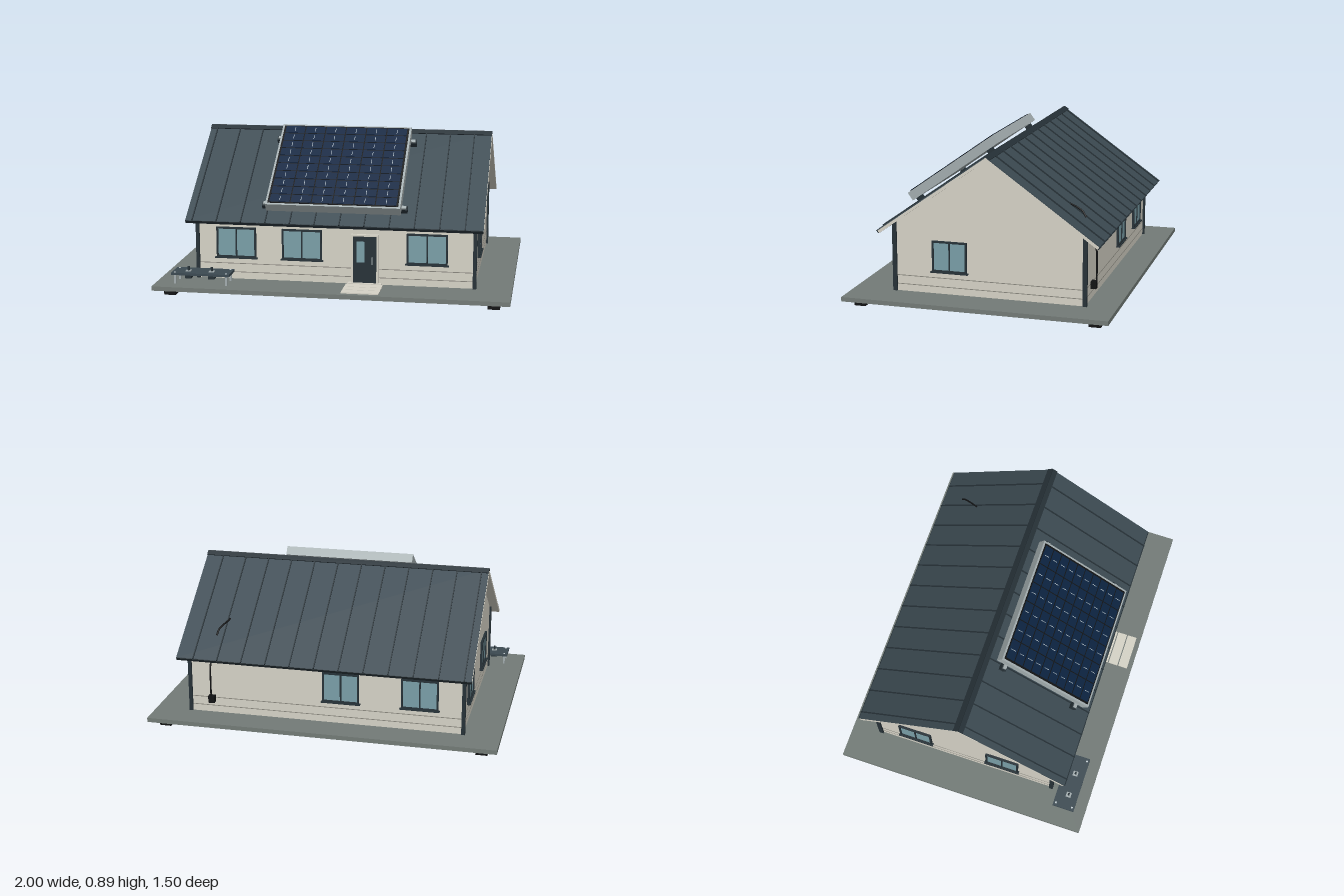
import * as THREE from 'three';

const mat = (name, color) => Object.assign(new THREE.MeshStandardMaterial({ color }), { name });
const M = {
  wall: mat('cream wall', 0xd6d3c7),
  groove: mat('cladding groove', 0x89877e),
  roof: mat('slate roof', 0x3c4a52),
  trim: mat('dark trim', 0x263137),
  glass: mat('window glass', 0x7a9fa8),
  slab: mat('grey slab', 0x737b77),
  cell: mat('solar cell blue', 0x0b2340),
  frame: mat('light metal', 0xa3adaf),
  black: mat('black rubber', 0x111213),
  silver: mat('pale busbar', 0xc6d0d4),
};

// Box given by its centre and size
function box(parent, name, material, x, y, z, w, h, d) {
  const m = new THREE.Mesh(new THREE.BoxGeometry(w, h, d), material);
  m.position.set(x, y, z);
  m.name = name;
  parent.add(m);
  return m;
}

function group(parent, name, x = 0, y = 0, z = 0, ry = 0) {
  const g = new THREE.Group();
  g.name = name;
  g.position.set(x, y, z);
  g.rotation.y = ry;
  parent.add(g);
  return g;
}

const FRONT = 0.51, BACK = -0.575, SIDE = 0.79, FLOOR = 0.06;
const RIDGE_Y = 0.86, RIDGE_Z = -0.035, PITCH = 0.617, SLOPE = 0.775;

// Two-pane window facing local +z
function addWindow(parent, x, z, ry, w) {
  const g = group(parent, 'window', x, 0.275, z, ry), h = 0.175;
  box(g, 'windowGlass', M.glass, 0, 0, 0.003, w - 0.01, h - 0.01, 0.006);
  for (const s of [-1, 1]) {
    box(g, 'windowJamb', M.trim, s * (w / 2 - 0.005), 0, 0.006, 0.01, h, 0.014);
    box(g, 'windowRail', M.trim, 0, s * (h / 2 - 0.005), 0.006, w, 0.01, 0.014);
  }
  box(g, 'windowMullion', M.trim, 0, 0, 0.005, 0.008, h, 0.012);
  box(g, 'windowSill', M.trim, 0, -h / 2 - 0.002, 0.01, w + 0.015, 0.006, 0.022);
}

function addWalls(parent) {
  // Gabled body, extruded along x
  const drop = 0.022, top = (z) => RIDGE_Y - drop - Math.abs(z - RIDGE_Z) * Math.tan(PITCH);
  const s = new THREE.Shape([
    [-FRONT, FLOOR], [-BACK, FLOOR], [-BACK, top(BACK)], [-RIDGE_Z, RIDGE_Y - drop], [-FRONT, top(FRONT)],
  ].map(([a, b]) => new THREE.Vector2(a, b)));
  const geo = new THREE.ExtrudeGeometry(s, { depth: SIDE * 2, bevelEnabled: false });
  geo.translate(0, 0, -SIDE).rotateY(Math.PI / 2);
  const body = new THREE.Mesh(geo, M.wall);
  body.name = 'walls';
  parent.add(body);

  // Cladding grooves, lower part of the walls
  const midZ = (FRONT + BACK) / 2;
  for (const y of [0.1, 0.15]) {
    box(parent, 'claddingGroove', M.groove, 0, y, midZ, SIDE * 2 + 0.003, 0.004, FRONT - BACK + 0.003);
  }
  // Corner posts
  for (const x of [-1, 1]) {
    for (const z of [FRONT, BACK]) box(parent, 'cornerPost', M.trim, x * 0.791, 0.26, z, 0.02, 0.4, 0.024);
  }
  for (const x of [-0.565, -0.185, 0.525]) addWindow(parent, x, FRONT, 0, 0.23);
  for (const x of [-0.095, -0.545]) addWindow(parent, x, BACK, Math.PI, 0.21);
  for (const z of [-0.34, 0.2]) addWindow(parent, -SIDE, z, -Math.PI / 2, 0.2);
  addWindow(parent, SIDE, 0.19, Math.PI / 2, 0.2);
}

function addDoor(parent) {
  const g = group(parent, 'door', 0.175, 0, FRONT);
  for (const s of [-1, 1]) box(g, 'doorJamb', M.wall, s * 0.072, 0.203, 0.008, 0.012, 0.286, 0.02);
  box(g, 'doorHead', M.wall, 0, 0.344, 0.008, 0.156, 0.01, 0.024);
  box(g, 'doorLeaf', M.trim, 0, 0.205, 0.005, 0.132, 0.27, 0.012);
  box(g, 'doorGlass', M.glass, -0.024, 0.248, 0.012, 0.046, 0.12, 0.004);
  box(g, 'doorHandle', M.frame, 0.042, 0.2, 0.018, 0.006, 0.04, 0.012);
  box(g, 'doorThreshold', M.wall, 0, 0.065, 0.015, 0.19, 0.01, 0.03);
  // Paving in front of the door
  for (const z of [0.06, 0.122, 0.184]) box(g, 'pavingStone', M.wall, 0, 0.063, z, 0.21, 0.007, 0.056);
}

// Roof half: local +z runs down the slope, local y is the roof normal
function addRoofHalf(parent, name, ry) {
  const turned = group(parent, name, 0, RIDGE_Y, RIDGE_Z, ry);
  const g = group(turned, name + 'Slope');
  g.rotation.x = PITCH;
  box(g, 'roofDeck', M.wall, 0, -0.014, SLOPE / 2, 1.684, 0.016, SLOPE - 0.006);
  box(g, 'roofSheet', M.roof, 0, -0.003, SLOPE / 2, 1.68, 0.006, SLOPE);
  box(g, 'eaveTrim', M.trim, 0, -0.01, SLOPE, 1.68, 0.02, 0.006);
  box(g, 'ridgeCap', M.trim, 0, 0.002, 0.016, 1.684, 0.007, 0.032);
  // Standing seams
  const flip = ry ? -1 : 1;
  for (let i = 0; i < 12; i++) {
    box(g, 'roofSeam', M.trim, flip * (-0.8 + i * 0.14), 0.003, SLOPE / 2 + 0.015, 0.006, 0.008, SLOPE - 0.03);
  }
  return g;
}

function addSolarPanel(slope) {
  const g = group(slope, 'solarPanel', 0, 0, 0.385);
  const W = 0.76, L = 0.642, top = 0.083;
  box(g, 'panelFrame', M.frame, 0, 0.0555, 0, W, 0.053, L);
  box(g, 'panelBacking', M.black, 0, top, 0, W - 0.024, 0.004, L - 0.024);
  // Cells with a dashed busbar down each column
  const cols = 6, rows = 10, cw = 0.72 / cols, cl = 0.61 / rows;
  for (let i = 0; i < cols; i++) {
    for (let j = 0; j < rows; j++) {
      const x = (i - (cols - 1) / 2) * cw, z = (j - (rows - 1) / 2) * cl;
      box(g, 'solarCell', M.cell, x, top + 0.002, z, cw - 0.006, 0.004, cl - 0.006);
      box(g, 'busbar', M.silver, x, top + 0.004, z, 0.003, 0.002, cl * 0.5);
    }
  }
  // Clamps holding the panel off the roof
  for (const x of [-0.39, 0.39]) {
    for (const z of [-0.259, 0.265]) {
      box(g, 'roofClamp', M.trim, x, 0.014, z, 0.044, 0.028, 0.032);
      box(g, 'clampPlate', M.frame, x, 0.032, z, 0.03, 0.008, 0.02);
    }
  }
}

function addBench(parent) {
  const g = group(parent, 'bench', -0.7375, 0, 0.618);
  box(g, 'benchTop', M.roof, 0, 0.119, 0, 0.335, 0.013, 0.13);
  for (const x of [-0.148, 0.148]) {
    for (const z of [-0.05, 0.05]) {
      box(g, 'benchLeg', M.frame, x, 0.087, z, 0.012, 0.054, 0.012);
      box(g, 'benchBolt', M.silver, x, 0.127, z, 0.01, 0.004, 0.01);
    }
  }
  for (const x of [-0.08, 0.055]) {
    box(g, 'benchSocket', M.trim, x, 0.1, 0.008, 0.036, 0.03, 0.032);
    box(g, 'benchPlate', M.frame, x, 0.127, 0.008, 0.03, 0.005, 0.03);
    box(g, 'benchPost', M.trim, x, 0.138, 0.008, 0.01, 0.03, 0.01);
  }
}

function tube(parent, name, points, radius) {
  const path = new THREE.CatmullRomCurve3(points.map((p) => new THREE.Vector3(...p)), false, 'catmullrom', 0.2);
  const m = new THREE.Mesh(new THREE.TubeGeometry(path, 24, radius, 8), M.black);
  m.name = name;
  parent.add(m);
}

export function createModel() {
  const model = new THREE.Group();
  model.name = 'house';

  // Base slab on four feet
  box(model, 'baseSlab', M.slab, 0, 0.0475, 0, 2, 0.025, 1.5);
  for (const x of [-0.91, 0.91]) {
    for (const z of [-0.665, 0.665]) box(model, 'foot', M.black, x, 0.018, z, 0.066, 0.036, 0.066);
  }

  addWalls(model);
  addDoor(model);
  addSolarPanel(addRoofHalf(model, 'frontRoof', 0));
  addRoofHalf(model, 'backRoof', Math.PI);
  addBench(model);

  // Cable over the back roof, then down the wall to a junction box
  tube(model, 'roofCable', [[0.59, 0.581, -0.425], [0.615, 0.562, -0.485], [0.63, 0.545, -0.52], [0.637, 0.515, -0.54]], 0.005);
  tube(model, 'wallCable', [[0.66, 0.45, -0.575], [0.66, 0.39, -0.587], [0.66, 0.33, -0.608], [0.66, 0.17, -0.608]], 0.005);
  box(model, 'junctionBox', M.black, 0.66, 0.147, -0.594, 0.036, 0.042, 0.03);
  return model;
}
